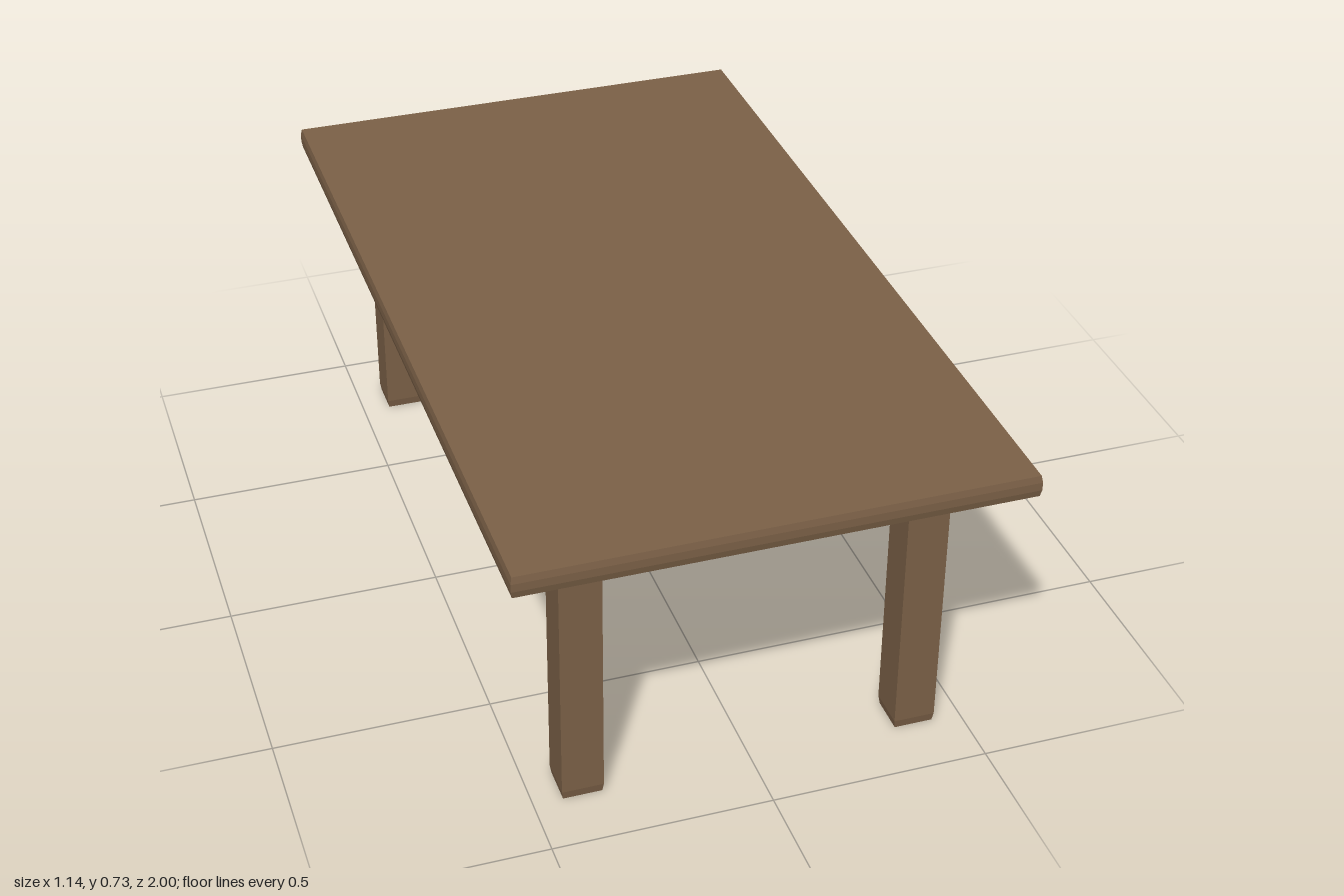
import * as THREE from 'three';

const wood = new THREE.MeshStandardMaterial({ color: 0x7d6248, flatShading: true });

// Box whose horizontal rings sit at the given [height, inset] levels
function taperedBox(name, width, depth, levels) {
  const geometry = new THREE.BoxGeometry(width, 1, depth, 1, levels.length - 1, 1);
  const pos = geometry.attributes.position;
  for (let i = 0; i < pos.count; i++) {
    const ring = Math.round((pos.getY(i) + 0.5) * (levels.length - 1));
    const [y, inset] = levels[ring];
    const x = pos.getX(i), z = pos.getZ(i);
    pos.setXYZ(i, x - Math.sign(x) * inset, y, z - Math.sign(z) * inset);
  }
  geometry.computeVertexNormals();
  const mesh = new THREE.Mesh(geometry, wood);
  mesh.name = name;
  return mesh;
}

export function createModel() {
  const table = new THREE.Group();
  table.name = 'table';

  // Tabletop with softly bevelled edges
  table.add(taperedBox('tabletop', 1.144, 2, [
    [0.682, 0.003], [0.698, 0], [0.717, 0], [0.733, 0.003],
  ]));

  // Four square legs, slightly narrowed at the foot
  for (const [side, sx] of [['Left', 1], ['Right', -1]]) {
    for (const [end, sz] of [['front', 1], ['back', -1]]) {
      const leg = taperedBox(`${end}${side}Leg`, 0.095, 0.095, [
        [0, 0.003], [0.02, 0], [0.684, 0],
      ]);
      leg.position.set(sx * 0.388, 0, sz * 0.811);
      table.add(leg);
    }
  }
  return table;
}
